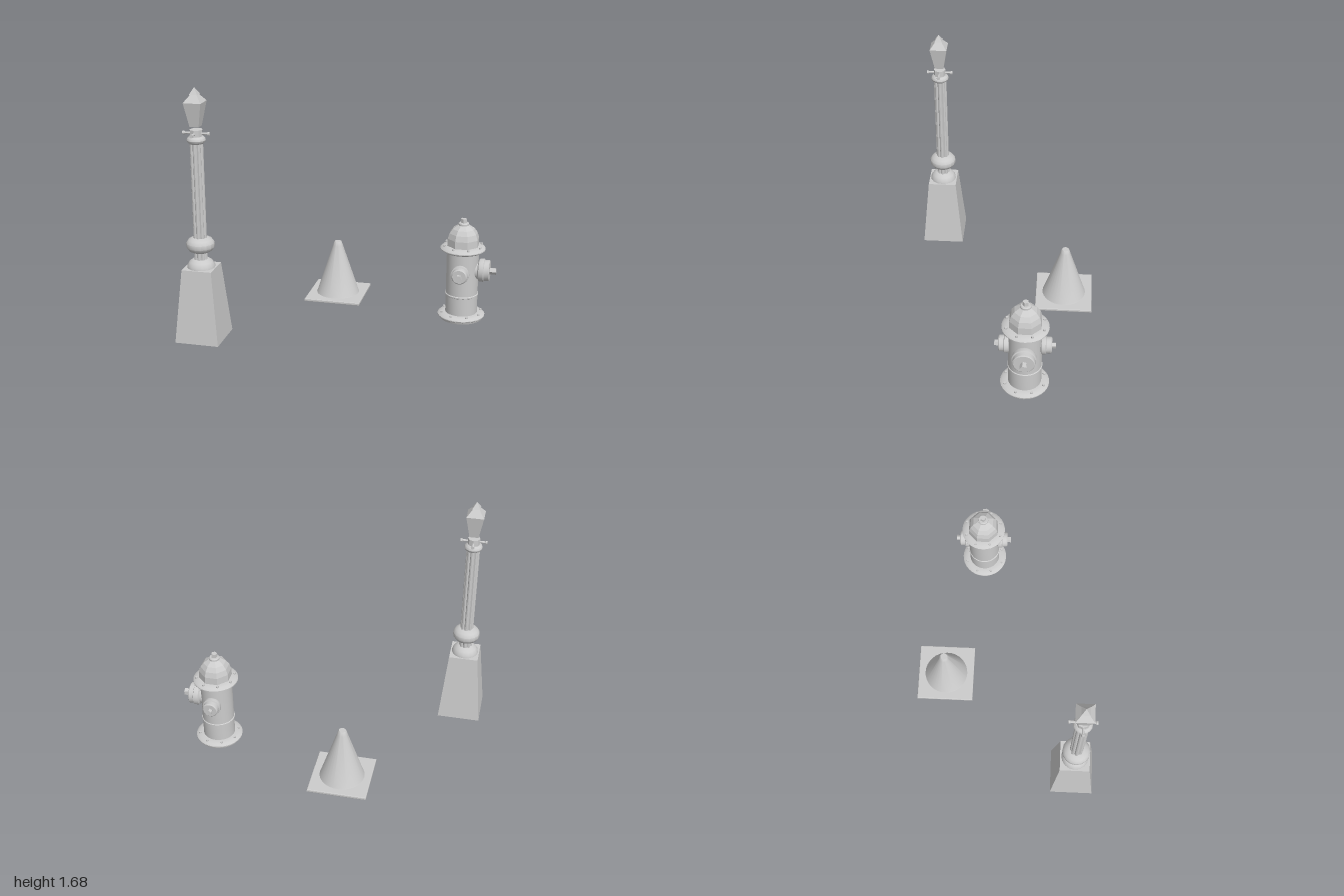
import * as THREE from 'three';
import { toCreasedNormals } from 'three/addons/utils/BufferGeometryUtils.js';

const smooth = new THREE.MeshStandardMaterial({ color: 0xcccccc });
const faceted = new THREE.MeshStandardMaterial({ color: 0xcccccc, flatShading: true });

function add(parent, name, geometry, material = smooth) {
  const mesh = new THREE.Mesh(geometry, material);
  mesh.name = name;
  parent.add(mesh);
  return mesh;
}

function group(name, x, z) {
  const g = new THREE.Group();
  g.name = name;
  g.position.set(x, 0, z);
  return g;
}

// Turned part: profile of [radius, height] from bottom to top, creased at sharp edges
function turned(profile, segments = 32) {
  const points = profile.map(([r, y]) => new THREE.Vector2(r, y));
  return toCreasedNormals(new THREE.LatheGeometry(points, segments), 0.6);
}

// Faceted part with flat sides facing the axes; profile gives half-widths
function prism(profile, sides) {
  const k = 1 / Math.cos(Math.PI / sides);
  const points = profile.map(([w, y]) => new THREE.Vector2(w * k, y));
  return new THREE.LatheGeometry(points, sides, Math.PI / sides);
}

function lampPost() {
  const lamp = group('lampPost', -0.853, 0.49);
  add(lamp, 'pedestal', prism([[0, 0], [0.147, 0], [0.1, 0.495], [0, 0.495]], 4), faceted);
  add(lamp, 'pedestalDome', turned([[0.092, 0.495], [0.09, 0.51], [0.076, 0.533], [0.052, 0.549], [0, 0.55]], 16));

  // Fluted shaft: ridges alternate with grooves
  const outline = [];
  for (let i = 0; i < 32; i++) {
    const a = (i / 32) * Math.PI * 2;
    const r = [0.045, 0.043, 0.036, 0.043][i % 4];
    outline.push(new THREE.Vector2(Math.cos(a) * r, Math.sin(a) * r));
  }
  const shaft = new THREE.ExtrudeGeometry(new THREE.Shape(outline), { depth: 0.81, bevelEnabled: false });
  shaft.rotateX(-Math.PI / 2).translate(0, 0.54, 0);
  add(lamp, 'flutedShaft', shaft, faceted);

  add(lamp, 'shaftBulb', turned([[0, 0.597], [0.052, 0.598], [0.077, 0.611], [0.092, 0.634], [0.092, 0.662],
    [0.077, 0.684], [0.052, 0.697], [0, 0.698]], 16));
  add(lamp, 'collar', turned([[0, 1.324], [0.044, 1.324], [0.057, 1.335], [0.061, 1.347], [0.057, 1.36],
    [0.044, 1.371], [0, 1.371]], 16));
  add(lamp, 'neck', turned([[0, 1.36], [0.041, 1.36], [0.041, 1.414], [0, 1.414]], 8), faceted);

  // Four ladder bars with knobbed ends
  for (let i = 0; i < 4; i++) {
    const bar = add(lamp, 'ladderBar', turned([[0.008, 0.03], [0.008, 0.075], [0.012, 0.078], [0.012, 0.09], [0, 0.09]], 8));
    bar.rotation.set(0, (i * Math.PI) / 2, -Math.PI / 2);
    bar.position.y = 1.39;
  }

  // Lantern floats just above the neck
  add(lamp, 'lantern', prism([[0, 1.435], [0.03, 1.435], [0.058, 1.592], [0.018, 1.643], [0, 1.643]], 4), faceted);
  add(lamp, 'finial', prism([[0, 1.64], [0.027, 1.64], [0, 1.685]], 4), faceted);
  return lamp;
}

function trafficCone() {
  const cone = group('trafficCone', -0.16, -0.44);
  const w = 0.195;
  const square = new THREE.Shape([[-w, -w], [w, -w], [w, w], [-w, w]].map(([x, y]) => new THREE.Vector2(x, y)));
  const plate = new THREE.ExtrudeGeometry(square, {
    depth: 0.01, bevelEnabled: true, bevelThickness: 0.005, bevelSize: 0.005, bevelSegments: 2,
  });
  plate.rotateX(-Math.PI / 2).translate(0, 0.005, 0);
  add(cone, 'basePlate', plate);
  add(cone, 'coneBody', turned([[0.154, 0.018], [0.15, 0.025], [0.035, 0.375], [0.027, 0.4], [0.023, 0.405], [0, 0.405]], 32));
  return cone;
}

// Capped hose outlet built along +y from the hydrant axis
function outlet(name, profile, nutRadius, nutFrom, nutTo) {
  const g = new THREE.Group();
  g.name = name;
  add(g, 'outletCap', turned(profile, 24));
  const nut = add(g, 'outletNut', new THREE.CylinderGeometry(nutRadius, nutRadius, nutTo - nutFrom, 5), faceted);
  nut.position.y = (nutFrom + nutTo) / 2;
  return g;
}

function boltRing(parent, radius, y) {
  for (let i = 0; i < 8; i++) {
    const a = ((i + 0.5) * Math.PI) / 4;
    const bolt = add(parent, 'flangeBolt', new THREE.CylinderGeometry(0.009, 0.009, 0.012, 6), faceted);
    bolt.position.set(Math.cos(a) * radius, y, Math.sin(a) * radius);
  }
}

function hydrant() {
  const h = group('fireHydrant', 0.77, -0.205);
  add(h, 'bottomFlange', turned([[0, 0.01], [0.146, 0.01], [0.15, 0.022], [0.161, 0.03], [0.161, 0.036],
    [0.146, 0.048], [0.118, 0.053], [0, 0.053]]));
  add(h, 'barrel', turned([[0.109, 0.045], [0.109, 0.177], [0.114, 0.181], [0.114, 0.189], [0.109, 0.193], [0.109, 0.5]]));
  add(h, 'topFlange', turned([[0, 0.492], [0.118, 0.492], [0.138, 0.498], [0.153, 0.509], [0.153, 0.515],
    [0.138, 0.528], [0.11, 0.535], [0, 0.535]]));
  boltRing(h, 0.136, 0.053);
  boltRing(h, 0.13, 0.535);

  // Eight-sided bonnet with its operating nut
  add(h, 'bonnet', prism([[0.103, 0.53], [0.101, 0.585], [0.09, 0.622], [0.07, 0.652], [0.036, 0.677], [0, 0.677]], 8), faceted);
  add(h, 'bonnetCollar', turned([[0.036, 0.67], [0.036, 0.688], [0.03, 0.694], [0, 0.694]], 16));
  const nut = add(h, 'operatingNut', new THREE.CylinderGeometry(0.021, 0.021, 0.032, 5), faceted);
  nut.position.y = 0.705;

  // Large outlet on the left side, a small one on the front and the back
  const large = outlet('largeOutlet', [[0.062, 0.07], [0.062, 0.108], [0.076, 0.116], [0.079, 0.125], [0.079, 0.148],
    [0.072, 0.152], [0.072, 0.182], [0.066, 0.187], [0, 0.187]], 0.024, 0.18, 0.23);
  large.rotation.z = -Math.PI / 2;
  large.position.y = 0.362;
  h.add(large);
  for (const side of [1, -1]) {
    const small = outlet('smallOutlet', [[0.045, 0.07], [0.045, 0.1], [0.06, 0.106], [0.062, 0.114], [0.062, 0.132],
      [0.053, 0.136], [0.053, 0.165], [0.046, 0.172], [0, 0.172]], 0.02, 0.165, 0.197);
    small.rotation.x = (side * Math.PI) / 2;
    small.position.y = 0.362;
    h.add(small);
  }
  return h;
}

export function createModel() {
  const model = new THREE.Group();
  model.name = 'streetFurniture';
  model.add(lampPost(), trafficCone(), hydrant());
  return model;
}
